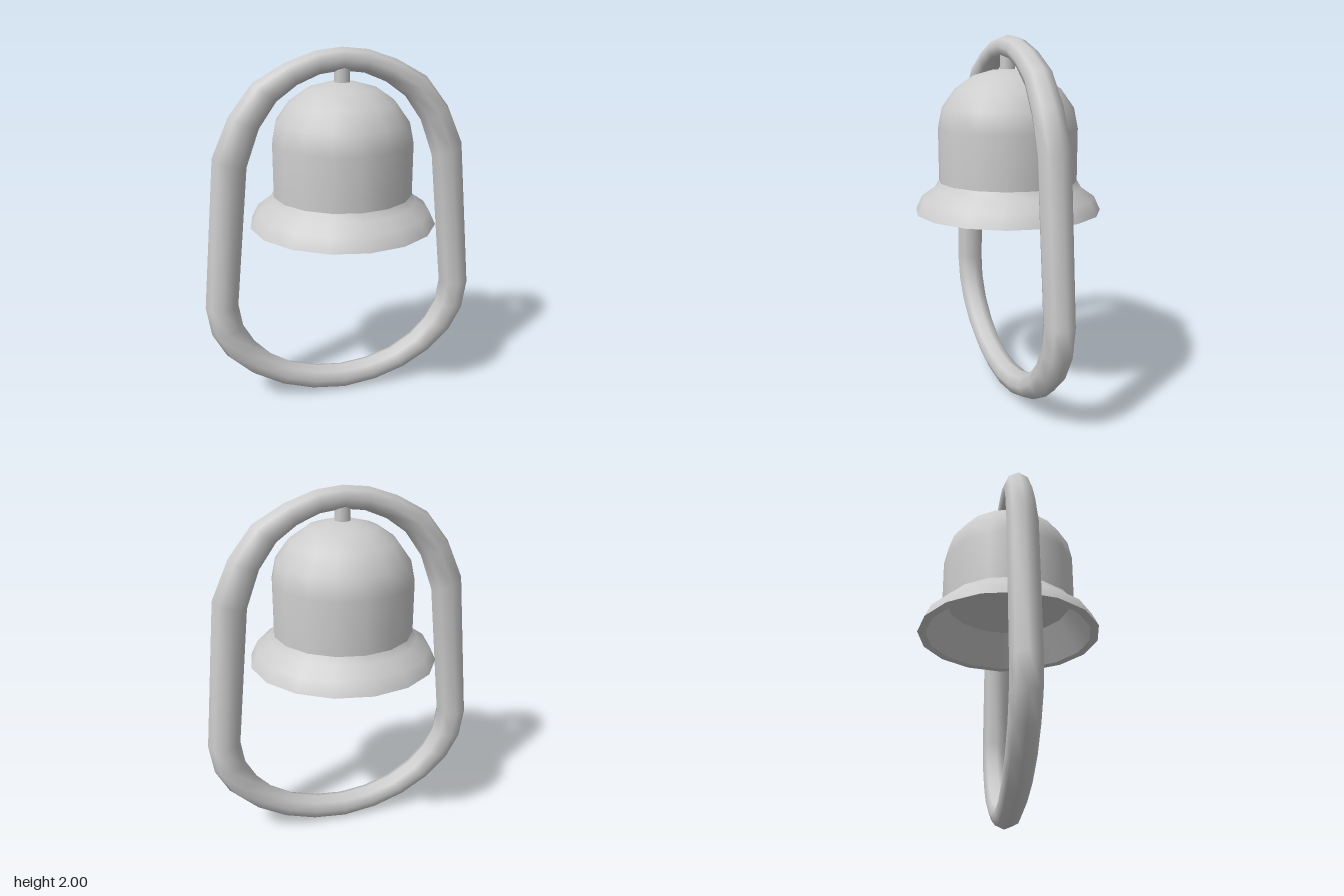
import * as THREE from 'three';

const metal = new THREE.MeshStandardMaterial({ color: 0xcccccc });
metal.name = 'grey metal';

// Loop half: outer x, outer y, inner x, inner y, half depth; top to bottom
const STATIONS = [
  [0, 2, 0, 1.88, 0.063],
  [0.14, 1.985, 0.12, 1.865, 0.064],
  [0.3, 1.93, 0.24, 1.815, 0.068],
  [0.47, 1.835, 0.35, 1.735, 0.074],
  [0.6, 1.67, 0.445, 1.6, 0.08],
  [0.695, 1.46, 0.518, 1.4, 0.083],
  [0.78, 0.62, 0.6, 0.62, 0.08],
  [0.755, 0.45, 0.58, 0.49, 0.078],
  [0.68, 0.31, 0.52, 0.38, 0.076],
  [0.545, 0.18, 0.43, 0.285, 0.075],
  [0.38, 0.085, 0.3, 0.205, 0.073],
  [0.2, 0.025, 0.15, 0.16, 0.071],
  [0, 0, 0, 0.145, 0.07],
];

// Closed eight-sided tube through mirrored stations
function loopGeometry() {
  const mirrored = STATIONS.slice(1, -1).reverse()
    .map(([ox, oy, ix, iy, d]) => [-ox, oy, -ix, iy, d]);
  const rings = [...STATIONS, ...mirrored];
  const sides = 8, n = rings.length;
  const pos = [], index = [];
  rings.forEach(([ox, oy, ix, iy, d], i) => {
    for (let j = 0; j < sides; j++) {
      const t = (j / sides) * Math.PI * 2;
      const c = Math.cos(t) / 2;
      pos.push((ox + ix) / 2 + (ox - ix) * c, (oy + iy) / 2 + (oy - iy) * c, d * Math.sin(t));
      const k = (j + 1) % sides, next = ((i + 1) % n) * sides;
      const a = i * sides + j, b = i * sides + k;
      index.push(a, b, next + j, b, next + k, next + j);
    }
  });
  const geo = new THREE.BufferGeometry();
  geo.setAttribute('position', new THREE.Float32BufferAttribute(pos, 3));
  geo.setIndex(index);
  geo.computeVertexNormals();
  return geo;
}

export function createModel() {
  const model = new THREE.Group();
  model.name = 'hangingBell';

  const add = (name, geo, parent) => {
    const mesh = new THREE.Mesh(geo, metal);
    mesh.name = name;
    parent.add(mesh);
    return mesh;
  };

  add('loopFrame', loopGeometry(), model);

  // Bell sections are separate so the edges between them stay sharp
  const bell = new THREE.Group();
  bell.name = 'bell';
  model.add(bell);
  const sections = {
    bellDome: [[0.38, 1.225], [0.38, 1.51], [0.357, 1.62], [0.285, 1.72], [0.185, 1.79], [0.08, 1.82], [0, 1.825]],
    bellSkirt: [[0.512, 1.06], [0.477, 1.135], [0.405, 1.185], [0.38, 1.225]],
    bellRim: [[0.465, 1.06], [0.512, 1.06]],
    bellInnerWall: [[0.35, 1.25], [0.465, 1.06]],
    bellCeiling: [[0, 1.25], [0.35, 1.25]],
  };
  for (const [name, pts] of Object.entries(sections)) {
    const profile = pts.map(([x, y]) => new THREE.Vector2(x, y));
    add(name, new THREE.LatheGeometry(profile, 16), bell);
  }

  // Short pin joining the bell to the loop
  add('hangerPin', new THREE.CylinderGeometry(0.043, 0.043, 0.11, 8), model).position.y = 1.855;

  return model;
}
